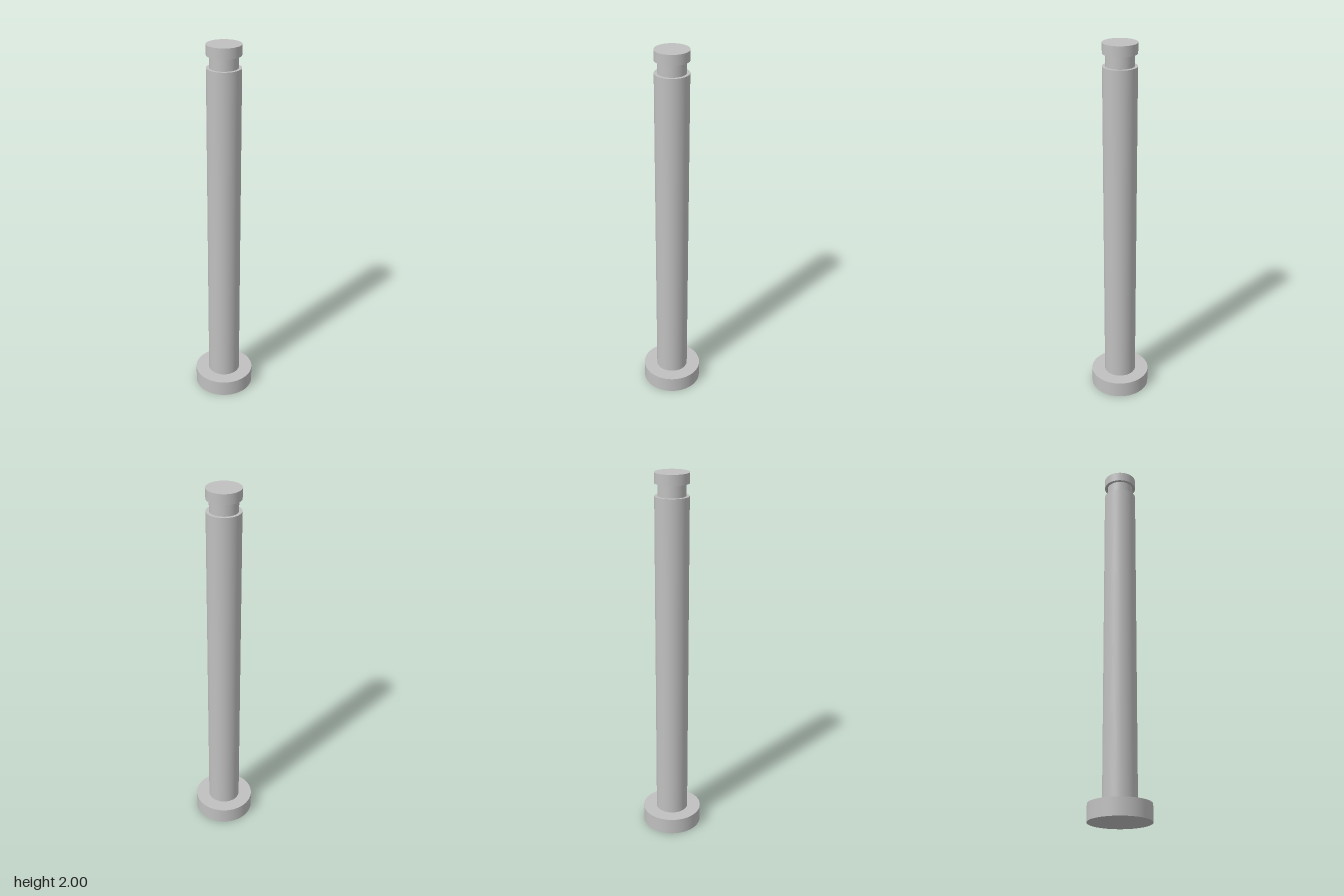
import * as THREE from 'three';

export function createModel() {
  const group = new THREE.Group();
  group.name = 'clevisPin';
  const steel = new THREE.MeshStandardMaterial({ color: 0xc0c0c0 });
  steel.name = 'steel grey';

  // One round section of the pin between two heights
  function section(name, radius, bottom, top) {
    const geometry = new THREE.CylinderGeometry(radius, radius, top - bottom, 96);
    const mesh = new THREE.Mesh(geometry, steel);
    mesh.position.y = (bottom + top) / 2;
    mesh.name = name;
    group.add(mesh);
  }

  section('headFlange', 0.162, 0, 0.09);
  section('shaft', 0.088, 0.09, 1.884);
  section('clipGroove', 0.072, 1.884, 1.947); // narrow neck for a retaining clip
  section('endCollar', 0.088, 1.947, 2);

  return group;
}
